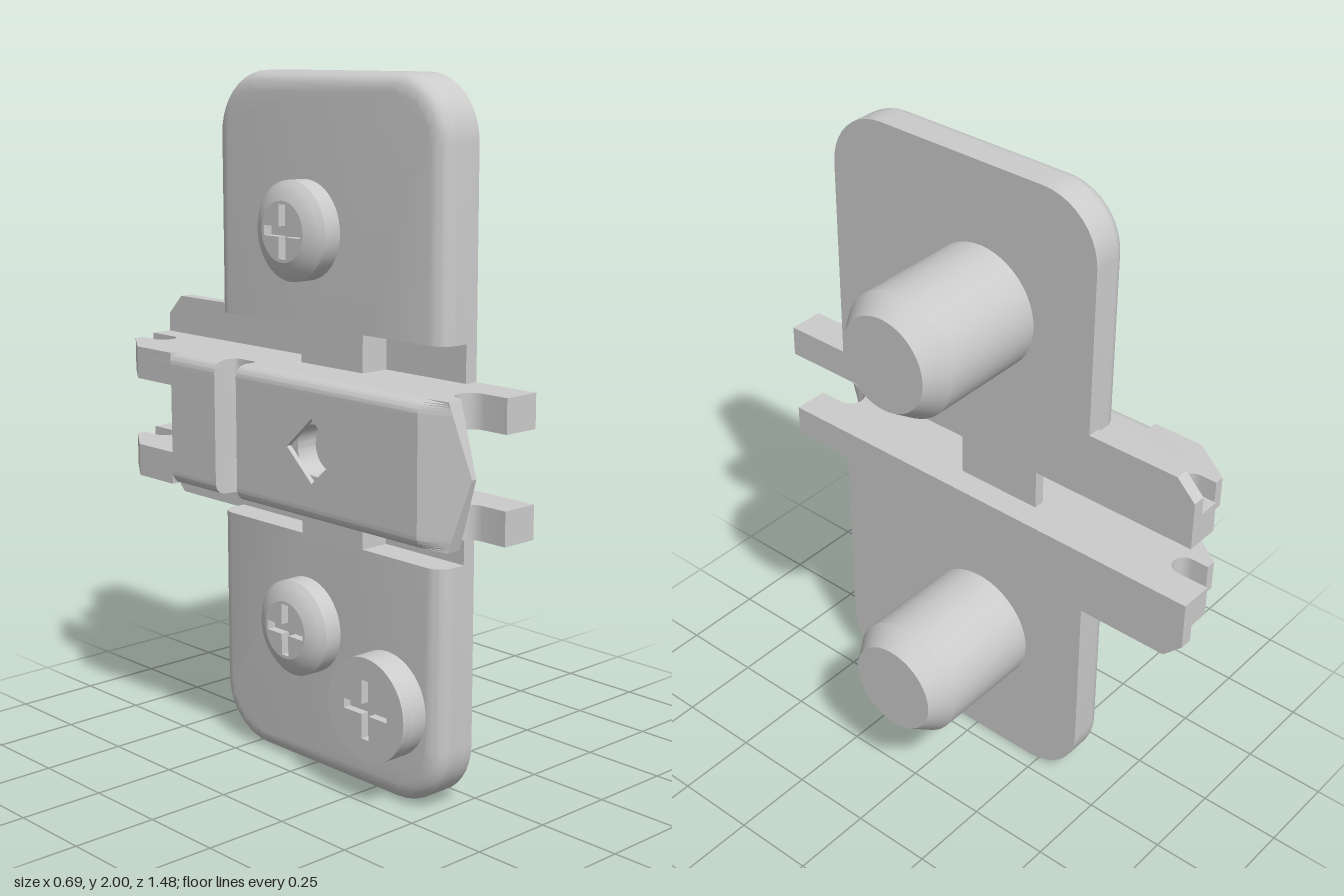
import * as THREE from 'three';
import { toCreasedNormals } from 'three/addons/utils/BufferGeometryUtils.js';

const material = new THREE.MeshStandardMaterial({ color: 0xcccccc });
const MID = 1; // height of the mirror plane

// Points on an arc, angles in degrees
function arc(cx, cy, r, from, to, n = 10) {
  return Array.from({ length: n + 1 }, (_, i) => {
    const a = THREE.MathUtils.degToRad(from + ((to - from) * i) / n);
    return [cx + r * Math.cos(a), cy + r * Math.sin(a)];
  });
}
const toShape = (pts) => new THREE.Shape(pts.map((p) => new THREE.Vector2(...p)));

// Move every vertex by a rule
function reshape(geo, rule) {
  const p = geo.attributes.position;
  const v = new THREE.Vector3();
  for (let i = 0; i < p.count; i++) {
    rule(v.fromBufferAttribute(p, i));
    p.setXYZ(i, v.x, v.y, v.z);
  }
  return geo;
}

// Extrude a (z, y) shape from x0 down to x1
function extrudeX(shape, x0, x1, steps = 1) {
  const g = new THREE.ExtrudeGeometry(shape, { depth: x0 - x1, steps, bevelEnabled: false, curveSegments: 24 });
  return g.rotateY(-Math.PI / 2).translate(x0, 0, 0);
}
// Extrude an (x, z) profile from y0 up to y1
function extrudeY(pts, y0, y1, steps) {
  const g = new THREE.ExtrudeGeometry(toShape(pts), { depth: y1 - y0, steps, bevelEnabled: false });
  return g.rotateX(Math.PI / 2).translate(0, y1, 0);
}

// Rounds the long outer edges of the channel and bends its nose to a shallow V
function shapeChannel(v) {
  const off = Math.abs(v.y - MID), r = 0.035;
  if (v.z > 0.65 && v.x < -0.255) {
    const k = 1 - off / 0.195;
    v.z += 0.055 * k;
    v.x += 0.03 * k * (v.x < -0.3 ? 1 : 0);
  }
  const d = Math.max(0, off - (0.195 - r));
  if (v.z > -0.4) v.x = Math.max(v.x, -0.35 + r - Math.sqrt(Math.max(0, r * r - d * d)));
}

// Rounds the outer rim of the plate
function roundRim(v) {
  const r = 0.18, b = 0.05;
  const t = Math.max(0, -v.x - (0.18 - b));
  const inset = b - Math.sqrt(Math.max(0, b * b - t * t));
  const cz = THREE.MathUtils.clamp(v.z, -0.21, 0.35);
  const cy = THREE.MathUtils.clamp(v.y, r, 2 - r);
  v.z = cz + ((v.z - cz) * (r - inset)) / r;
  v.y = cy + ((v.y - cy) * (r - inset)) / r;
}

// Plus-shaped outline for the driver recess
function cross(z, y, l, w) {
  const q = [[l, -w], [l, w], [w, w], [w, l], [-w, l], [-w, w], [-l, w], [-l, -w], [-w, -w], [-w, -l], [w, -l], [w, -w]];
  return new THREE.Path(q.map(([a, b]) => new THREE.Vector2(z + a, y + b)));
}

export function createModel() {
  const model = new THREE.Group();
  const add = (name, geo, crease = 0.5) => {
    const mesh = new THREE.Mesh(toCreasedNormals(geo, crease), material);
    mesh.name = name;
    model.add(mesh);
    return mesh;
  };
  // Lathe turned about the x axis; profile is [radius, x]
  const turned = (name, pts, y, z) => {
    const g = new THREE.LatheGeometry(pts.map((p) => new THREE.Vector2(...p)), 48);
    g.rotateZ(-Math.PI / 2).translate(0, y, z);
    add(name, g);
  };
  // Disc with a cross recess
  const recessedDisc = (name, y, z, r, x0, x1, l, w) => {
    const s = toShape(arc(z, y, r, 0, 360, 48).slice(0, -1));
    s.holes.push(cross(z, y, l, w));
    add(name, extrudeX(s, x0, x1));
  };

  const corners = [...arc(0.35, 1.82, 0.18, 0, 90), ...arc(-0.21, 1.82, 0.18, 90, 180)];
  const wall = [
    [-0.05, -0.74], [-0.155, -0.74], ...arc(-0.1925, -0.6375, 0.0375, 0, 180),
    [-0.23, -0.69], [-0.26, -0.69], [-0.35, -0.56], [-0.35, -0.401], [-0.35, -0.399],
    [-0.35, -0.2], ...arc(-0.29, -0.18, 0.02, -90, 0, 4), ...arc(-0.29, -0.125, 0.02, 0, 90, 4), [-0.35, -0.105],
    [-0.35, 0.61], [-0.31, 0.68], [-0.265, 0.68], [-0.25, 0.665],
    ...arc(-0.205, 0.66, 0.045, 180, 360), [-0.16, 0.74], [-0.05, 0.74],
  ];

  for (const [side, s] of [['upper', 1], ['lower', -1]]) {
    const flip = (pts) => pts.map(([z, y]) => [z, MID + s * (y - MID)]);

    // Thin base layer with the rear flange
    const base = [[0.53, 1.195], ...corners, [-0.39, 1.31], [-0.68, 1.31], [-0.74, 1.25], [-0.74, 1.195]];
    add(side + 'PlateBase', extrudeX(toShape(flip(base)), -0.05, -0.09));

    // Thick outer layer, with a tab reaching the rail
    const face = [[0.23, 1.195], [0.23, 1.3], [0.53, 1.3], ...corners, [-0.39, 1.3], [-0.02, 1.3], [-0.02, 1.195]];
    add(side + 'PlateFace', reshape(extrudeX(toShape(flip(face)), -0.09, -0.18, 18), roundRim));

    // Rail wall
    const [y0, y1] = s > 0 ? [1.1, 1.195] : [0.805, 0.9];
    add(side + 'RailWall', reshape(extrudeY(wall, y0, y1, 19), shapeChannel));

    // Pin and screw head
    const y = MID + s * 0.568;
    turned(side + 'Pin', [[0, -0.06], [0.185, -0.06], [0.185, 0.28], [0.14, 0.345], [0, 0.345]], y, -0.005);
    turned(side + 'ScrewHead', [[0.085, -0.267], [0.11, -0.258], [0.125, -0.248], [0.14, -0.235], [0.14, -0.17]], y, 0);
    recessedDisc(side + 'ScrewRecess', y, 0, 0.085, -0.235, -0.267, 0.075, 0.014);
    turned(side + 'ScrewFloor', [[0, -0.24], [0.085, -0.24], [0.085, -0.18]], y, 0);
  }

  // Flat adjusting screw
  turned('adjusterBody', [[0, -0.24], [0.15, -0.24], [0.15, -0.17]], 0.28, 0.33);
  recessedDisc('adjusterFace', 0.28, 0.33, 0.15, -0.24, -0.265, 0.085, 0.014);

  // Channel cover: nose, drilled panel and rear strip
  const nose = [[-0.35, 0.42], [-0.35, 0.61], [-0.31, 0.68], [-0.265, 0.68], [-0.27, 0.42]];
  add('coverNose', reshape(extrudeY(nose, 0.9, 1.1, 2), shapeChannel), 0.1);
  const rect = () => toShape([[-0.105, 0.9], [0.42, 0.9], [0.42, 1.1], [-0.105, 1.1]]);
  const inner = rect(), outer = rect();
  inner.holes.push(new THREE.Path().absarc(0.21, 1, 0.072, 0, Math.PI * 2, true));
  outer.holes.push(new THREE.Path([[0.31, 1], [0.21, 1.09], [0.11, 1], [0.21, 0.91]].map((p) => new THREE.Vector2(...p))));
  add('coverPanel', extrudeX(inner, -0.27, -0.335));
  add('coverRecess', extrudeX(outer, -0.335, -0.35));
  add('coverRear', new THREE.BoxGeometry(0.08, 0.2, 0.2).translate(-0.31, 1, -0.3));

  // Bridge joining the two halves inside the channel
  add('bridge', new THREE.BoxGeometry(0.035, 0.2, 0.28).translate(-0.1475, 1, -0.01));

  return model;
}
